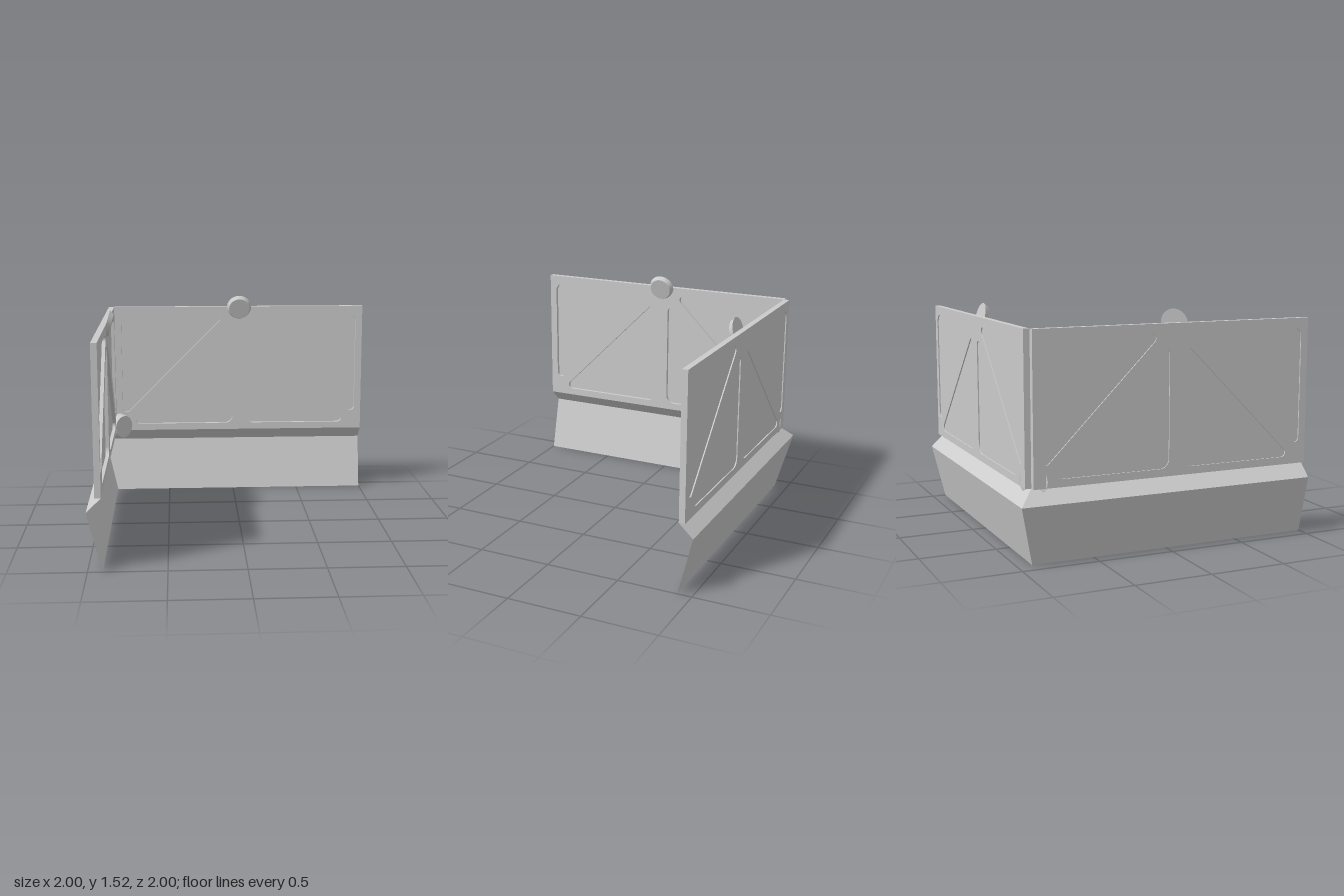
import * as THREE from 'three';

const material = new THREE.MeshStandardMaterial({ color: 0xcccccc });
const sheetMaterial = new THREE.MeshStandardMaterial({ color: 0xcccccc, flatShading: true, side: THREE.DoubleSide });

const HALF = 0.9525, BOTTOM = 0.475, TOP = 1.435, THICK = 0.04;
const INNER = 0.905, OUTER = INNER + THICK;

function addMesh(parent, name, geometry, mat = material) {
  const mesh = new THREE.Mesh(geometry, mat);
  mesh.name = name;
  parent.add(mesh);
  return mesh;
}

// Counter-clockwise polygon with filleted corners; each corner is [x, y, radius]
function roundedPath(corners) {
  const path = new THREE.Path();
  const n = corners.length;
  const pts = corners.map(([x, y]) => new THREE.Vector2(x, y));
  for (let i = 0; i < n; i++) {
    const r = corners[i][2];
    const into = pts[i].clone().sub(pts[(i + n - 1) % n]).normalize();
    const out = pts[(i + 1) % n].clone().sub(pts[i]).normalize();
    const bisector = out.clone().sub(into).normalize();
    const half = Math.acos(bisector.dot(out));
    const c = pts[i].clone().addScaledVector(bisector, r / Math.sin(half));
    path.absarc(c.x, c.y, r, into.angle() - Math.PI / 2, out.angle() - Math.PI / 2, false);
  }
  path.closePath();
  return path;
}

// One wall: trussed frame, thin web inside it and a tilted lamp at the top
function createWall(name) {
  const wall = new THREE.Group();
  wall.name = name;

  const frame = new THREE.Shape();
  frame.moveTo(-HALF, BOTTOM);
  frame.lineTo(HALF, BOTTOM);
  frame.lineTo(HALF, TOP);
  frame.lineTo(-HALF, TOP);
  frame.closePath();

  // Upper outer and lower inner triangles, mirrored about the middle post
  const triangles = [
    [[-0.9025, 1.375, 0.06], [-0.9025, 0.575, 0.03], [-0.1025, 1.375, 0.03]],
    [[-0.05, 0.525, 0.06], [-0.05, 1.32, 0.03], [-0.845, 0.525, 0.03]],
  ];
  for (const t of triangles) {
    frame.holes.push(roundedPath(t));
    frame.holes.push(roundedPath(t.map(([x, y, r]) => [-x, y, r]).reverse()));
  }
  addMesh(wall, 'trussFrame', new THREE.ExtrudeGeometry(frame, { depth: THICK, bevelEnabled: false, curveSegments: 10 }));

  // Web, set deeper on the inside than on the outside
  const web = addMesh(wall, 'panelWeb', new THREE.BoxGeometry(2 * HALF - 0.04, TOP - BOTTOM - 0.04, 0.008));
  web.position.set(0, (TOP + BOTTOM) / 2, 0.012);

  const lamp = addMesh(wall, 'topLamp', new THREE.CylinderGeometry(0.077, 0.094, 0.031, 40));
  lamp.position.set(0, 1.424, 0.057);
  lamp.rotation.x = THREE.MathUtils.degToRad(105);
  return wall;
}

// Folded sheet skirt swept round the corner with a mitre
function createSkirt() {
  const profile = [[INNER, 0], [1, 0.385], [INNER, BOTTOM]];
  const positions = [], index = [];
  for (const [d, y] of profile) positions.push(1, y, -d, -d, y, -d, -d, y, 1);
  for (let row = 0; row < 2; row++) {
    for (let side = 0; side < 2; side++) {
      const a = row * 3 + side, b = a + 1, c = a + 3, d = a + 4;
      index.push(a, b, d, a, d, c);
    }
  }
  const geometry = new THREE.BufferGeometry();
  geometry.setAttribute('position', new THREE.Float32BufferAttribute(positions, 3));
  geometry.setIndex(index);
  const flat = geometry.toNonIndexed();
  flat.computeVertexNormals();
  return flat;
}

export function createModel() {
  const model = new THREE.Group();
  model.name = 'cornerBarrier';

  const backWall = createWall('backWall');
  backWall.position.set(1 - HALF, 0, -OUTER);
  const sideWall = createWall('sideWall');
  sideWall.position.set(-OUTER, 0, 1 - HALF);
  sideWall.rotation.y = Math.PI / 2;
  model.add(backWall, sideWall);

  addMesh(model, 'skirt', createSkirt(), sheetMaterial);

  // Round lamp in the corner, facing along the diagonal
  const cornerLamp = addMesh(model, 'cornerLamp', new THREE.CylinderGeometry(0.084, 0.096, 0.057, 40));
  cornerLamp.position.set(-0.865, 0.515, -0.865);
  cornerLamp.rotation.set(Math.PI / 2, Math.PI / 4, 0, 'YXZ');
  return model;
}
